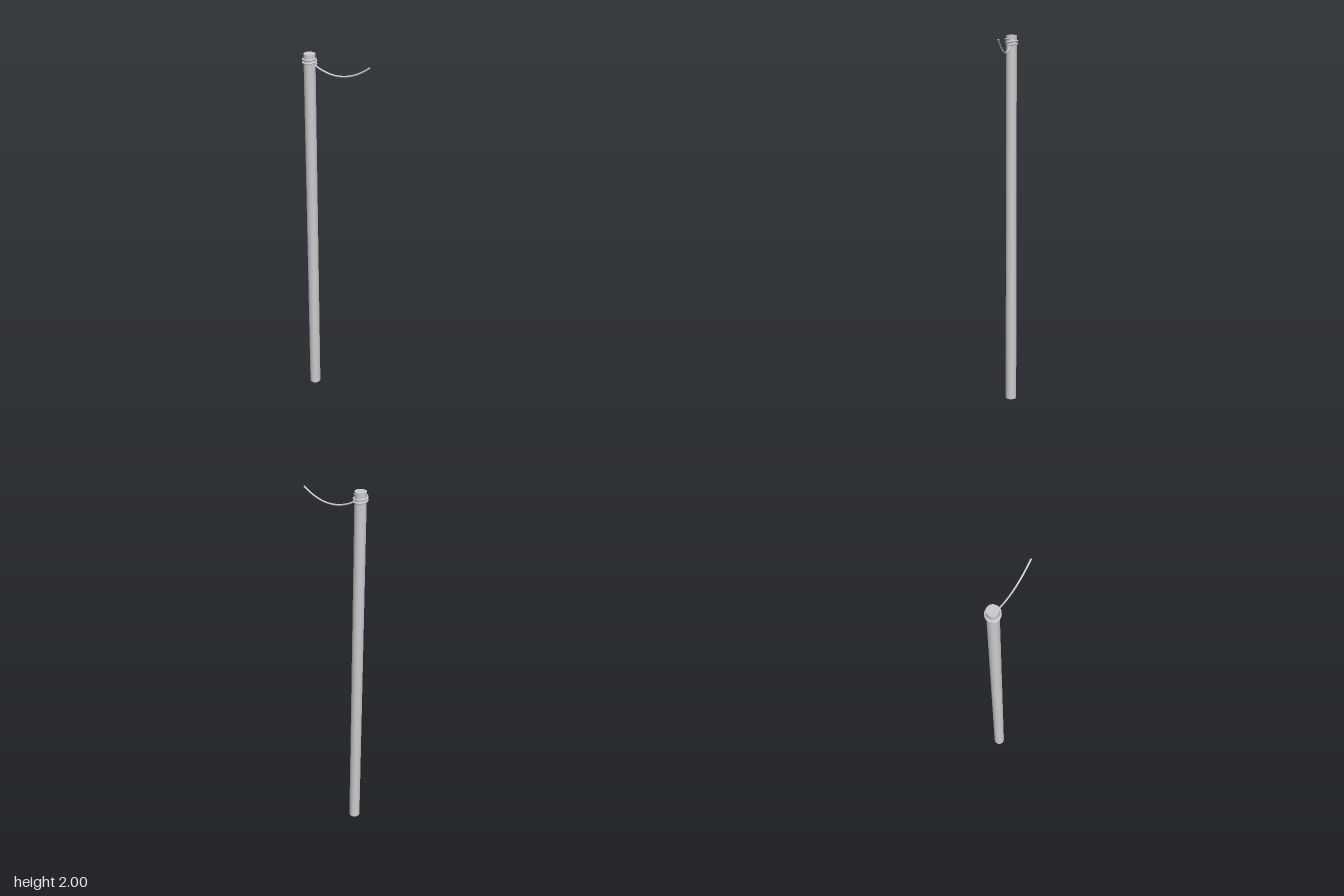
import * as THREE from 'three';

const POLE_X = -0.133;
const ROPE_R = 0.0042;

export function createModel() {
  const group = new THREE.Group();
  const material = new THREE.MeshStandardMaterial({ color: 0xcccccc });
  const add = (name, geometry) => {
    const mesh = new THREE.Mesh(geometry, material);
    mesh.name = name;
    group.add(mesh);
    return mesh;
  };

  // Straight, very slightly tapered pole
  add('pole', new THREE.CylinderGeometry(0.028, 0.03, 2, 32)).position.set(POLE_X, 1, 0);

  // Rope tube with closed ends
  const addRope = (name, points, segments) => {
    const curve = new THREE.CatmullRomCurve3(points);
    add(name, new THREE.TubeGeometry(curve, segments, ROPE_R, 10));
    for (const t of [0, 1]) {
      const cap = add(name + 'End', new THREE.CircleGeometry(ROPE_R, 10));
      const outward = curve.getTangentAt(t).multiplyScalar(t ? 1 : -1);
      cap.position.copy(curve.getPointAt(t));
      cap.quaternion.setFromUnitVectors(new THREE.Vector3(0, 0, 1), outward);
    }
  };

  // Two turns of rope wound round the top of the pole
  const coil = [];
  for (let i = 0; i <= 48; i++) {
    const a = (i / 48) * Math.PI * 4;
    coil.push(new THREE.Vector3(
      POLE_X + Math.cos(a) * 0.032, 1.981 - 0.031 * (i / 48), Math.sin(a) * 0.032));
  }
  addRope('ropeCoil', coil, 128);

  // Loose end sagging away to the side and rising to its tip
  const sag = [];
  for (let i = 0; i <= 12; i++) {
    const x = THREE.MathUtils.lerp(-0.105, 0.163, i / 12);
    sag.push(new THREE.Vector3(x, 1.909 + 2.65 * (x - 0.014) ** 2, 0));
  }
  addRope('hangingRope', sag, 40);

  return group;
}
